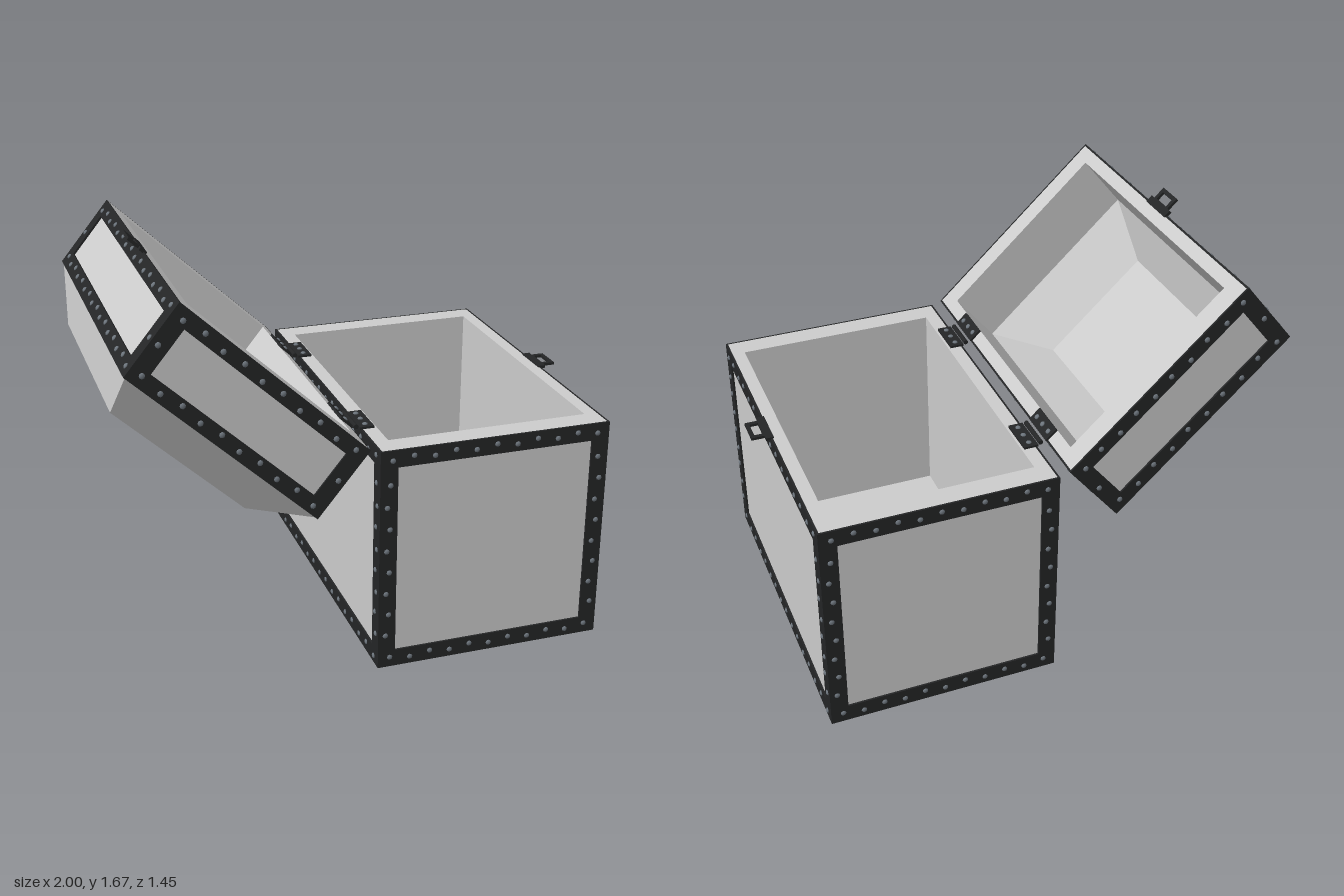
import * as THREE from 'three';
import { mergeGeometries } from 'three/addons/utils/BufferGeometryUtils.js';

const T = 0.008;      // strap thickness
const BAND = 0.072;   // strap width
const HALF_Z = 0.72;  // half length of the chest

const wood = new THREE.MeshStandardMaterial({ color: 0xcccccc, flatShading: true });
const iron = new THREE.MeshStandardMaterial({ color: 0x242526, flatShading: true });
const steel = new THREE.MeshStandardMaterial({ color: 0x6c747c });

function addMesh(parent, name, geometry, material, x = 0, y = 0, z = 0) {
  const mesh = new THREE.Mesh(geometry, material);
  mesh.name = name;
  mesh.position.set(x, y, z);
  parent.add(mesh);
  return mesh;
}

// Skin over rectangular rings [x0, x1, y, halfZ], running up the outside and down the inside
function loft(rings) {
  const loops = rings.map(([x0, x1, y, h]) => [[x0, y, h], [x1, y, h], [x1, y, -h], [x0, y, -h]]);
  const pos = [];
  const quad = (a, b, c, d) => pos.push(...a, ...b, ...c, ...a, ...c, ...d);
  for (let i = 0; i < loops.length - 1; i++) {
    const p = loops[i], q = loops[i + 1];
    for (let k = 0; k < 4; k++) quad(p[k], p[(k + 1) % 4], q[(k + 1) % 4], q[k]);
  }
  const last = loops[loops.length - 1];
  quad(...[...loops[0]].reverse());
  quad(...last);
  const geometry = new THREE.BufferGeometry();
  geometry.setAttribute('position', new THREE.Float32BufferAttribute(pos, 3));
  geometry.computeVertexNormals();
  return geometry;
}

// Flat rectangle with a rectangular hole
function frameGeometry(w, h, bandX, bandY, depth) {
  const rect = (Type, a, b) => new Type([
    new THREE.Vector2(-a, -b), new THREE.Vector2(a, -b),
    new THREE.Vector2(a, b), new THREE.Vector2(-a, b)]);
  const shape = rect(THREE.Shape, w / 2, h / 2);
  shape.holes.push(rect(THREE.Path, w / 2 - bandX, h / 2 - bandY));
  return new THREE.ExtrudeGeometry(shape, { depth, bevelEnabled: false });
}

// Low domed rivet heads facing +z
function rivetGeometry(points) {
  const dome = new THREE.SphereGeometry(0.0115, 8, 3, 0, Math.PI * 2, 0, Math.PI / 2);
  dome.rotateX(Math.PI / 2).scale(1, 1, 0.6);
  return mergeGeometries(points.map(([x, y]) => dome.clone().translate(x, y, 0)));
}

// Rivets in a slight zigzag along the four straps of one side
function strapRivets(w, h) {
  const points = [];
  const inset = BAND / 2;
  const row = (length, place) => {
    const n = Math.max(2, Math.round(length / 0.09));
    for (let i = 0; i <= n; i++) {
      place(-length / 2 + (length * i) / n, i % 2 ? 0.006 : -0.006, i === 0 || i === n);
    }
  };
  for (const s of [-1, 1]) {
    row(w - 0.1, (t, j) => points.push([t, s * (h / 2 - inset + j)]));
    row(h - 0.1, (t, j, end) => { if (!end) points.push([s * (w / 2 - inset + j), t]); });
  }
  return rivetGeometry(points);
}

// Riveted straps around all four sides of a box spanning x0..x1, y0..y1
function addStraps(parent, name, x0, x1, y0, y1) {
  const w = x1 - x0, h = y1 - y0;
  for (let k = 0; k < 4; k++) {
    const along = k % 2 ? 2 * HALF_Z : w;
    const reach = k % 2 ? w / 2 : HALF_Z;
    const side = new THREE.Group();
    side.name = name + 'Side' + (k + 1);
    side.position.set((x0 + x1) / 2, (y0 + y1) / 2, 0);
    side.rotation.y = (k * Math.PI) / 2;
    addMesh(side, 'strapFrame', frameGeometry(along, h, BAND, h < 0.5 ? 0.063 : BAND, T), iron, 0, 0, reach - T);
    addMesh(side, 'rivets', strapRivets(along, h), steel, 0, 0, reach);
    parent.add(side);
  }
}

// Flat hasp: mounting bar and open loop pointing along +x
function makeHasp() {
  const hasp = new THREE.Group();
  hasp.name = 'hasp';
  addMesh(hasp, 'haspBar', new THREE.BoxGeometry(0.032, 0.012, 0.16), iron, 0.004, 0, 0);
  const loop = frameGeometry(0.066, 0.115, 0.016, 0.018, 0.011);
  loop.rotateX(-Math.PI / 2).translate(0, -0.0055, 0);
  addMesh(hasp, 'haspLoop', loop, iron, 0.04, 0, 0);
  return hasp;
}

// Hinge leaves with three rivets each, lying flat and facing up
function addHingeLeaves(parent, x, y) {
  for (const z of [-0.415, 0.41]) {
    addMesh(parent, 'hingeLeaf', new THREE.BoxGeometry(0.06, 0.01, 0.165), iron, x, y, z);
    const rivets = rivetGeometry([[0, -0.055], [0, 0], [0, 0.055]]).rotateX(-Math.PI / 2);
    addMesh(parent, 'hingeRivets', rivets, steel, x, y + 0.005, z);
  }
}

export function createModel() {
  const chest = new THREE.Group();
  chest.name = 'openChest';

  // Hollow base
  const base = new THREE.Group();
  base.name = 'base';
  const [x0, x1, top] = [-0.03, 0.925, 0.945];
  addMesh(base, 'baseBody', loft([
    [x0 + T, x1 - T, 0, HALF_Z - T],
    [x0 + T, x1 - T, top, HALF_Z - T],
    [0.035, 0.865, top, 0.62],
    [0.035, 0.865, 0.07, 0.62],
  ]), wood);
  addStraps(base, 'base', x0, x1, 0, top);
  addHingeLeaves(base, -0.005, top + 0.004);
  const baseHasp = makeHasp();
  baseHasp.position.set(x1, top, 0.015);
  base.add(baseHasp);
  chest.add(base);

  // Lid thrown back past the hinge, slightly stretched in height
  const lidStretch = new THREE.Group();
  lidStretch.name = 'lidStretch';
  lidStretch.position.set(-0.07, 0.958, 0);
  lidStretch.scale.set(1, 1.068, 1);
  const lid = new THREE.Group();
  lid.name = 'lid';
  lid.rotation.z = -0.72;
  const L = 0.932, D = 0.316;
  addMesh(lid, 'lidBody', loft([
    [-0.815, -0.158, -0.48, 0.505],
    [-L + T, -T, -D, HALF_Z - T],
    [-L + T, -T, 0, HALF_Z - T],
    [-0.872, -0.06, 0, 0.62],
    [-0.872, -0.06, -0.258, 0.62],
    [-0.75, -0.21, -0.42, 0.42],
  ]), wood);
  addStraps(lid, 'lid', -L, 0, -D, 0);
  addHingeLeaves(lid, -0.03, 0.004);
  const lidHasp = makeHasp();
  lidHasp.position.set(-L, 0, 0.015);
  lidHasp.rotation.y = Math.PI;
  lid.add(lidHasp);
  lidStretch.add(lid);
  chest.add(lidStretch);

  // Hinge pins between base and lid
  for (const z of [-0.415, 0.41]) {
    const pin = new THREE.CylinderGeometry(0.01, 0.01, 0.15, 10).rotateX(Math.PI / 2);
    addMesh(chest, 'hingePin', pin, iron, -0.048, 0.955, z);
  }
  return chest;
}
